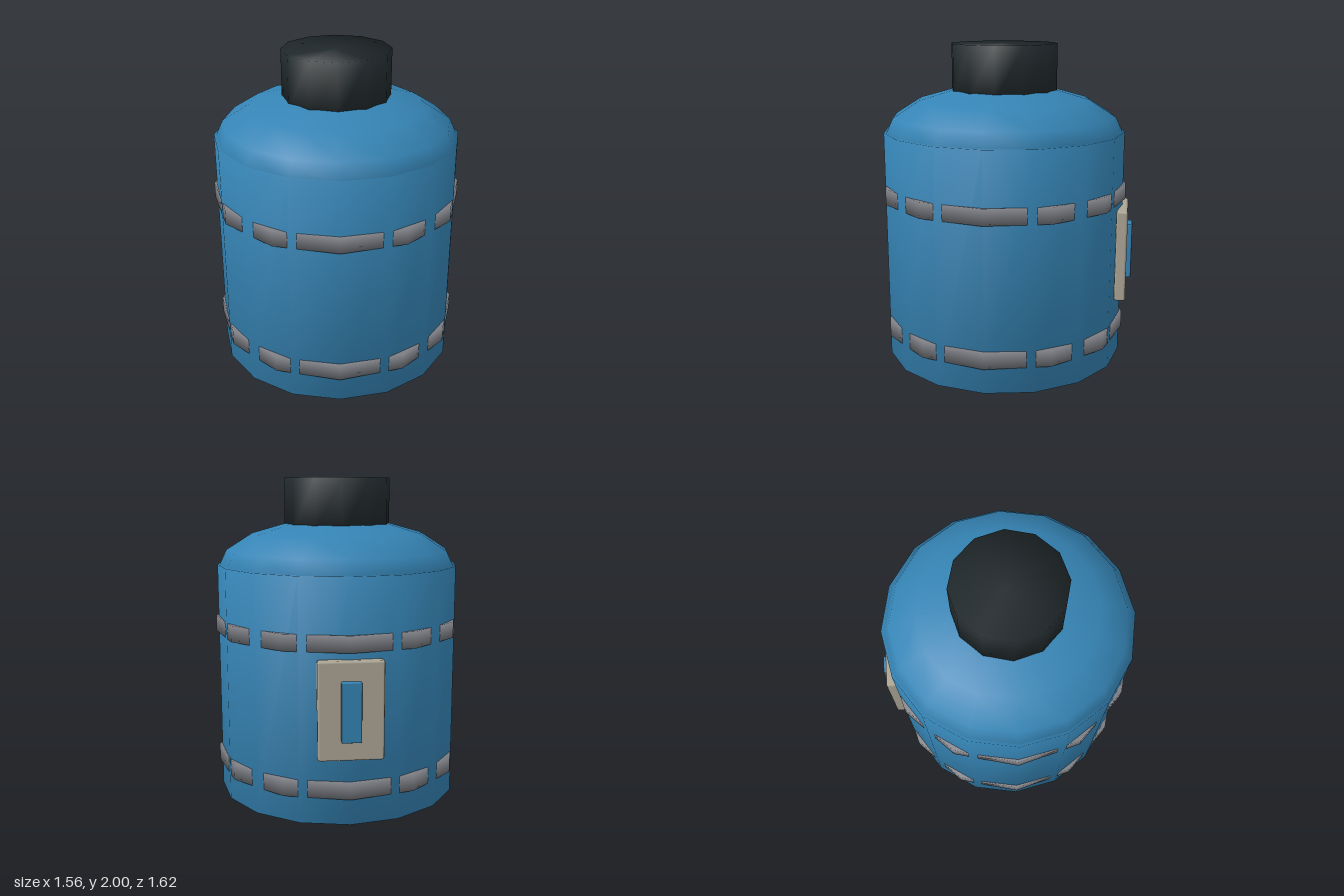
import * as THREE from 'three';
import { mergeVertices } from 'three/addons/utils/BufferGeometryUtils.js';
import { RoundedBoxGeometry } from 'three/addons/geometries/RoundedBoxGeometry.js';

const AXIS_Z = 0.025; // the canister axis sits slightly forward of the origin

const paint = (color) => new THREE.MeshStandardMaterial({ color });

// Closed drum whose rim normals are shared between side and caps, for soft edges
function drum(radius, y0, y1, sides) {
  const geometry = new THREE.CylinderGeometry(radius, radius, y1 - y0, sides);
  geometry.deleteAttribute('normal');
  geometry.deleteAttribute('uv');
  const soft = mergeVertices(geometry);
  soft.computeVertexNormals();
  soft.translate(0, (y0 + y1) / 2, AXIS_Z);
  return soft;
}

export function createModel() {
  const model = new THREE.Group();
  model.name = 'canister';
  const blue = paint(0x3584b5);
  const grey = paint(0x7c7e84);
  const black = paint(0x20282b);
  const cream = paint(0xaca695);

  const add = (name, geometry, material) => {
    const mesh = new THREE.Mesh(geometry, material);
    mesh.name = name;
    model.add(mesh);
    return mesh;
  };

  // Main tank
  add('body', drum(0.765, 0, 1.46, 16), blue);

  // Flattened half-sphere shoulder, its base sunk into the tank
  const dome = new THREE.SphereGeometry(0.765, 16, 4, 0, Math.PI * 2, 0, Math.PI / 2);
  dome.scale(1, 0.324 / 0.765, 1);
  dome.translate(0, 1.426, AXIS_Z);
  add('dome', dome, blue);

  // Screw cap
  add('cap', drum(0.335, 1.68, 2, 12), black);

  // Coarser hoops, so the tank's corners break through between their corners
  add('lowerBand', drum(0.782, 0.16, 0.265, 12), grey);
  add('upperBand', drum(0.782, 1.03, 1.13, 12), grey);

  // Plate on the back with a raised blue gauge
  add('backPlate', new RoundedBoxGeometry(0.385, 0.585, 0.07, 1, 0.014), cream)
    .position.set(0, 0.698, -0.743);
  add('gauge', new RoundedBoxGeometry(0.117, 0.355, 0.06, 1, 0.008), blue)
    .position.set(0, 0.698, -0.778);

  return model;
}
